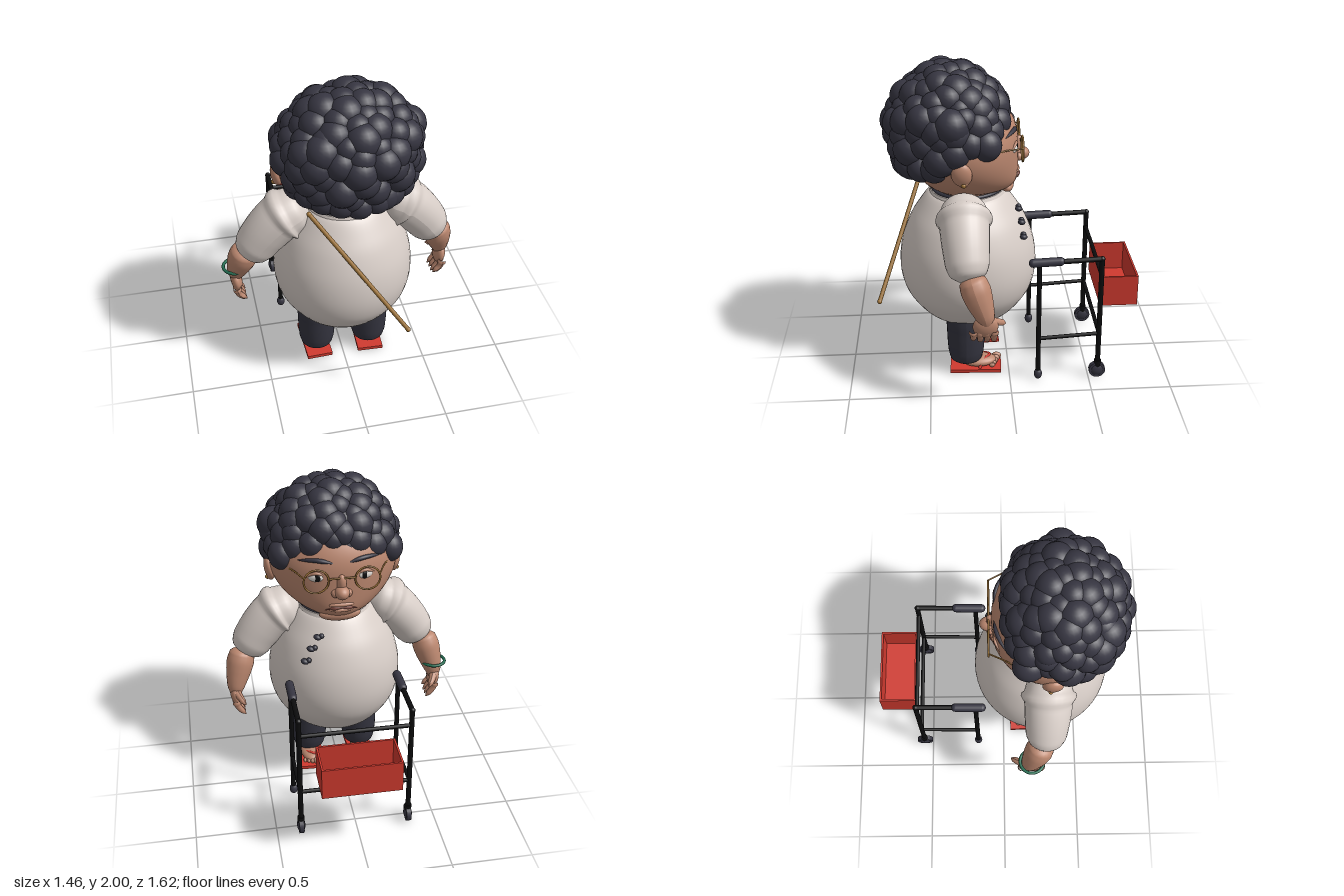
import * as THREE from 'three';

const mat = (name, color) => Object.assign(new THREE.MeshStandardMaterial({ color }), { name });
const V = (p) => new THREE.Vector3(...p);

export function createModel() {
  const root = new THREE.Group(), person = new THREE.Group(), frame = new THREE.Group();
  root.name = 'personWithWalker';
  person.name = 'person';
  frame.name = 'walkingFrame';
  root.add(person, frame);
  person.position.x = 0.01;
  let target = person;
  const skin = mat('skin', 0xbc8870), shirt = mat('shirt', 0xd8cec8), hair = mat('hair', 0x373642);
  const trousers = mat('trousers', 0x34343f), red = mat('red', 0xd03a2f), gold = mat('gold', 0x9c7238);
  const green = mat('green', 0x236b50), black = mat('black', 0x0d0d0e), white = mat('eyeWhite', 0xe6e0da);
  const lip = mat('lip', 0x7d4a40);

  const add = (name, geo, m, pos = [0, 0, 0], scale = [1, 1, 1], rot = [0, 0, 0]) => {
    const o = new THREE.Mesh(geo, m);
    o.name = name;
    o.position.set(...pos);
    o.scale.set(...scale);
    o.rotation.set(...rot);
    target.add(o);
    return o;
  };
  const ball = new THREE.SphereGeometry(1, 24, 16);
  const blob = (name, m, pos, scale, rot) => add(name, ball, m, pos, scale, rot);
  // Straight round bar between two points
  const rod = (name, a, b, r, m) => {
    const A = V(a), B = V(b), d = B.clone().sub(A);
    const o = add(name, new THREE.CylinderGeometry(r, r, d.length(), 12), m);
    o.position.copy(A).add(B).multiplyScalar(0.5);
    o.quaternion.setFromUnitVectors(new THREE.Vector3(0, 1, 0), d.normalize());
  };
  // Soft limb: a tube whose radius follows a list of values
  const limb = (name, pts, radii, m, n = 24, sides = 20) => {
    const curve = new THREE.CatmullRomCurve3(pts.map(V));
    const rc = new THREE.CatmullRomCurve3(radii.map((r) => new THREE.Vector3(r, 0, 0)));
    const g = new THREE.TubeGeometry(curve, n, 1, sides);
    const p = g.attributes.position, nr = g.attributes.normal;
    for (let i = 0; i < p.count; i++) {
      const t = Math.floor(i / (sides + 1)) / n, c = curve.getPointAt(t), r = Math.max(0.0005, rc.getPoint(t).x);
      p.setXYZ(i, c.x + nr.getX(i) * r, c.y + nr.getY(i) * r, c.z + nr.getZ(i) * r);
    }
    g.computeVertexNormals();
    add(name, g, m);
  };

  // Round shirt body with collar
  const profile = new THREE.SplineCurve([[0.001, 0.29], [0.13, 0.31], [0.27, 0.38], [0.37, 0.5], [0.413, 0.6], [0.427, 0.72],
    [0.41, 0.86], [0.36, 1.0], [0.3, 1.1], [0.24, 1.18], [0.2, 1.195]].map((p) => new THREE.Vector2(...p))).getPoints(44);
  add('shirtBody', new THREE.LatheGeometry(profile, 48), shirt, [0, 0, 0.243]);
  add('collar', new THREE.CylinderGeometry(0.226, 0.24, 0.04, 40), shirt, [0, 1.185, 0.24]);
  add('collarTrim', new THREE.TorusGeometry(0.214, 0.011, 8, 40), trousers, [0, 1.215, 0.24], [1, 1, 1], [Math.PI / 2, 0, 0]);
  [[0.15, 1.11, -0.065], [0.195, 1.04, -0.08], [0.235, 0.96, -0.09]].forEach((p) => {
    blob('shirtKnot', trousers, p, [0.026, 0.017, 0.022], [0, -0.4, 0.3]);
    blob('shirtKnot', trousers, [p[0] - 0.025, p[1] + 0.005, p[2]], [0.017, 0.017, 0.018]);
  });

  // Head: an egg whose lower front is pushed out into a full chin
  const headGeo = new THREE.SphereGeometry(1, 48, 36);
  const hp = headGeo.attributes.position;
  for (let i = 0; i < hp.count; i++) {
    const b = hp.getY(i), c = hp.getZ(i);
    if (c < 0 && b < 0 && b > -0.999) hp.setZ(i, c * Math.sqrt((1 - b ** 10) / (1 - b * b)));
  }
  headGeo.scale(0.4, 0.33, 0.34);
  headGeo.computeVertexNormals();
  add('head', headGeo, skin, [0, 1.51, 0.27]);
  add('neck', new THREE.CylinderGeometry(0.19, 0.205, 0.12, 32), skin, [0, 1.22, 0.24]);

  // Face
  blob('noseTip', skin, [0, 1.415, -0.085], [0.045, 0.042, 0.055]);
  blob('noseBridge', skin, [0, 1.46, -0.062], [0.03, 0.07, 0.035], [-0.25, 0, 0]);
  limb('mouth', [[-0.12, 1.272, -0.028], [-0.06, 1.3, -0.062], [0, 1.305, -0.071], [0.06, 1.3, -0.062], [0.12, 1.272, -0.028]],
    [0.002, 0.006, 0.006, 0.006, 0.002], lip, 16, 8);
  blob('upperLip', skin, [0, 1.322, -0.055], [0.08, 0.017, 0.024]);
  blob('lowerLip', skin, [0, 1.286, -0.052], [0.075, 0.017, 0.026]);
  blob('chin', skin, [0, 1.23, 0.0], [0.13, 0.045, 0.045]);
  for (const s of [-1, 1]) {
    blob('nostril', skin, [s * 0.038, 1.405, -0.07], [0.026, 0.026, 0.03]);
    blob('eye', white, [s * 0.15, 1.505, -0.033], [0.05, 0.03, 0.022], [0, s * -0.35, 0]);
    blob('iris', black, [s * 0.145, 1.505, -0.048], [0.024, 0.025, 0.01], [0, s * -0.35, 0]);
    limb('upperLid', [[s * 0.095, 1.515, -0.05], [s * 0.15, 1.536, -0.048], [s * 0.205, 1.508, -0.022]], [0.005, 0.01, 0.005], skin, 12, 8);
    limb('eyebrow', [[s * 0.05, 1.595, -0.05], [s * 0.14, 1.612, -0.035], [s * 0.25, 1.6, 0.02]], [0.006, 0.014, 0.012, 0.002], hair, 14, 10);
    add('glassesRim', new THREE.TorusGeometry(0.075, 0.006, 8, 36), gold, [s * 0.155, 1.5, -0.085]);
    limb('glassesArm', [[s * 0.227, 1.525, -0.085], [s * 0.28, 1.535, 0.02], [s * 0.36, 1.53, 0.15]], [0.005, 0.005], gold, 10, 8);
    blob('ear', skin, [s * 0.395, 1.44, 0.28], [0.035, 0.075, 0.06], [0.2, 0, s * -0.15]);
    blob('earLobe', skin, [s * 0.39, 1.39, 0.27], [0.025, 0.03, 0.03]);
    blob('earring', gold, [s * 0.412, 1.38, 0.27], [0.014, 0.014, 0.014]);
  }
  rod('glassesBridge', [-0.082, 1.51, -0.085], [0.082, 1.51, -0.085], 0.006, gold);

  // Curly hair: overlapping curls of varied size over a dome, above a sloping hairline
  add('hairCore', new THREE.SphereGeometry(1, 32, 12, 0, Math.PI * 2, 0, Math.PI / 2), hair, [0.01, 1.66, 0.33], [0.38, 0.27, 0.34]);
  const curl = new THREE.SphereGeometry(1, 18, 14), N = 150;
  let seed = 7;
  const rand = () => (seed = (seed * 16807) % 2147483647) / 2147483647;
  for (let i = 0; i < N; i++) {
    const b = 1 - (2 * (i + 0.5)) / N, q = Math.sqrt(1 - b * b) * (1 - 0.1 * Math.max(0, b));
    const a = i * 2.399963 + (rand() - 0.5) * 0.25, k = 0.97 + rand() * 0.07, z0 = q * Math.sin(a);
    const x = 0.01 + 0.35 * k * q * Math.cos(a), r = 0.078 + rand() * 0.028;
    const y = 1.64 + b * k * (b > 0 ? 0.265 : 0.4), z = 0.33 + z0 * k * (z0 > 0 ? 0.315 : 0.285);
    if (y < Math.max(1.395, 1.485 + (0.35 - z) * 0.52)) continue;
    add('hairCurl', curl, hair, [x, y, z], [r, r, r]);
  }
  for (const s of [-1, 1]) blob('sideCurl', hair, [s * 0.33, 1.59, 0.14], [0.085, 0.095, 0.095]);
  // Row of curls closing the nape
  for (let i = -4; i <= 4; i++) {
    const a = i * 0.3;
    blob('napeCurl', hair, [0.01 + 0.33 * Math.sin(a), 1.405 + 0.012 * Math.abs(i), 0.33 + 0.285 * Math.cos(a)], [0.085, 0.085, 0.085]);
  }

  for (const s of [-1, 1]) {
    // Sleeve, forearm and hand
    limb('sleeve', [[s * 0.22, 1.19, 0.27], [s * 0.36, 1.135, 0.27], [s * 0.475, 1.02, 0.265], [s * 0.575, 0.87, 0.255], [s * 0.595, 0.835, 0.25]],
      [0.06, 0.13, 0.147, 0.147, 0.144, 0.14, 0.134, 0.128, 0.105, 0.0], shirt, 40, 28);
    limb('forearm', [[s * 0.585, 0.92, 0.25], [s * 0.625, 0.78, 0.205], [s * 0.655, 0.66, 0.165], [s * 0.66, 0.6, 0.155]],
      [0.0, 0.08, 0.088, 0.082, 0.07, 0.055, 0.03], skin);
    blob('palm', skin, [s * 0.66, 0.6, 0.165], [0.036, 0.075, 0.075], [0, 0, s * -0.15]);
    for (let f = 0; f < 4; f++) {
      const z = 0.115 + f * 0.04, y = 0.468 + (f === 3 ? 0.02 : 0);
      limb('finger', [[s * 0.665, 0.58, z], [s * 0.65, 0.53, z], [s * 0.605, y, z]], [0.022, 0.022, 0.02, 0.018, 0.003], skin, 12, 10);
    }
    limb('thumb', [[s * 0.655, 0.63, 0.13], [s * 0.63, 0.61, 0.08], [s * 0.605, 0.585, 0.045]], [0.03, 0.025, 0.021, 0.018, 0.003], skin, 12, 10);

    // Trouser leg, foot and slipper
    limb('trouserLeg', [[s * 0.172, 0.46, 0.27], [s * 0.172, 0.2, 0.27], [s * 0.172, 0.035, 0.272]],
      [0.11, 0.12, 0.122, 0.12, 0.119, 0.117, 0.113, 0.1, 0.0], trousers, 40, 28);
    blob('foot', skin, [s * 0.172, 0.055, 0.19], [0.068, 0.036, 0.11]);
    for (let t = 0; t < 5; t++) {
      const r = 0.024 - t * 0.0025;
      blob('toe', skin, [s * (0.128 + t * 0.024), 0.026 + r, 0.075 + t * 0.008], [r * 0.75, r, r * 1.3]);
    }
    add('slipperSole', new THREE.BoxGeometry(0.165, 0.022, 0.325), red, [s * 0.174, 0.018, 0.21], [1, 1, 1], [0, s * -0.04, 0]);
    limb('slipperStrap', [[s * 0.1, 0.03, 0.19], [s * 0.122, 0.068, 0.16], [s * 0.155, 0.08, 0.12], [s * 0.21, 0.072, 0.16], [s * 0.243, 0.03, 0.19]],
      [0.01, 0.01], red, 20, 8);
  }
  add('bracelet', new THREE.TorusGeometry(0.075, 0.01, 10, 36), green, [-0.66, 0.712, 0.175], [1, 1, 1], [Math.PI / 2, 0, 0]);

  // Walking stick slung across the back
  const top = [-0.25, 1.29, 0.5], tip = [0.28, 0.57, 0.795];
  rod('stick', top, tip, 0.013, gold);
  for (const p of [top, tip]) blob('stickEnd', gold, p, [0.015, 0.015, 0.015]);

  // Walking frame
  target = frame;
  const xs = [-0.328, 0.35], zf = -0.557, zr = -0.178;
  for (const x of xs) {
    rod('rearLeg', [x, 0.05, zr], [x, 0.84, zr], 0.015, black);
    rod('frontLeg', [x, 0.08, zf], [x, 0.85, zf], 0.016, black);
    rod('topRail', [x, 0.832, -0.15], [x, 0.848, zf], 0.016, black);
    rod('sideBar', [x, 0.302, zr], [x, 0.325, zf], 0.012, black);
    blob('railCorner', black, [x, 0.848, zf], [0.018, 0.018, 0.018]);
    add('handGrip', new THREE.CapsuleGeometry(0.027, 0.165, 6, 16), hair, [x, 0.837, -0.222], [1, 1, 1], [Math.PI / 2 + 0.04, 0, 0]);
    blob('rubberFoot', hair, [x, 0.042, zr], [0.026, 0.036, 0.026]);
    add('wheel', new THREE.CylinderGeometry(0.052, 0.052, 0.03, 24), hair, [x, 0.06, zf + 0.003], [1, 1, 1], [0, 0, Math.PI / 2]);
    blob('wheelHub', hair, [x, 0.06, zf + 0.003], [0.026, 0.045, 0.045]);
    rod('wheelFork', [x, 0.07, zf], [x, 0.13, zf], 0.022, black);
  }
  for (const y of [0.74, 0.325]) rod('crossBar', [xs[0], y, zf], [xs[1], y, zf], 0.013, black);

  // Open basket on the frame
  const bx = 0.0135, bz = -0.69, w = 0.48, d = 0.236, h = 0.202, t = 0.012;
  add('basketFloor', new THREE.BoxGeometry(w, t, d), red, [bx, 0.466 + t / 2, bz]);
  for (const s of [-1, 1]) {
    add('basketSide', new THREE.BoxGeometry(t, h, d), red, [bx + (s * (w - t)) / 2, 0.567, bz]);
    add('basketWall', new THREE.BoxGeometry(w, h, t), red, [bx, 0.567, bz + (s * (d - t)) / 2]);
  }
  return root;
}
